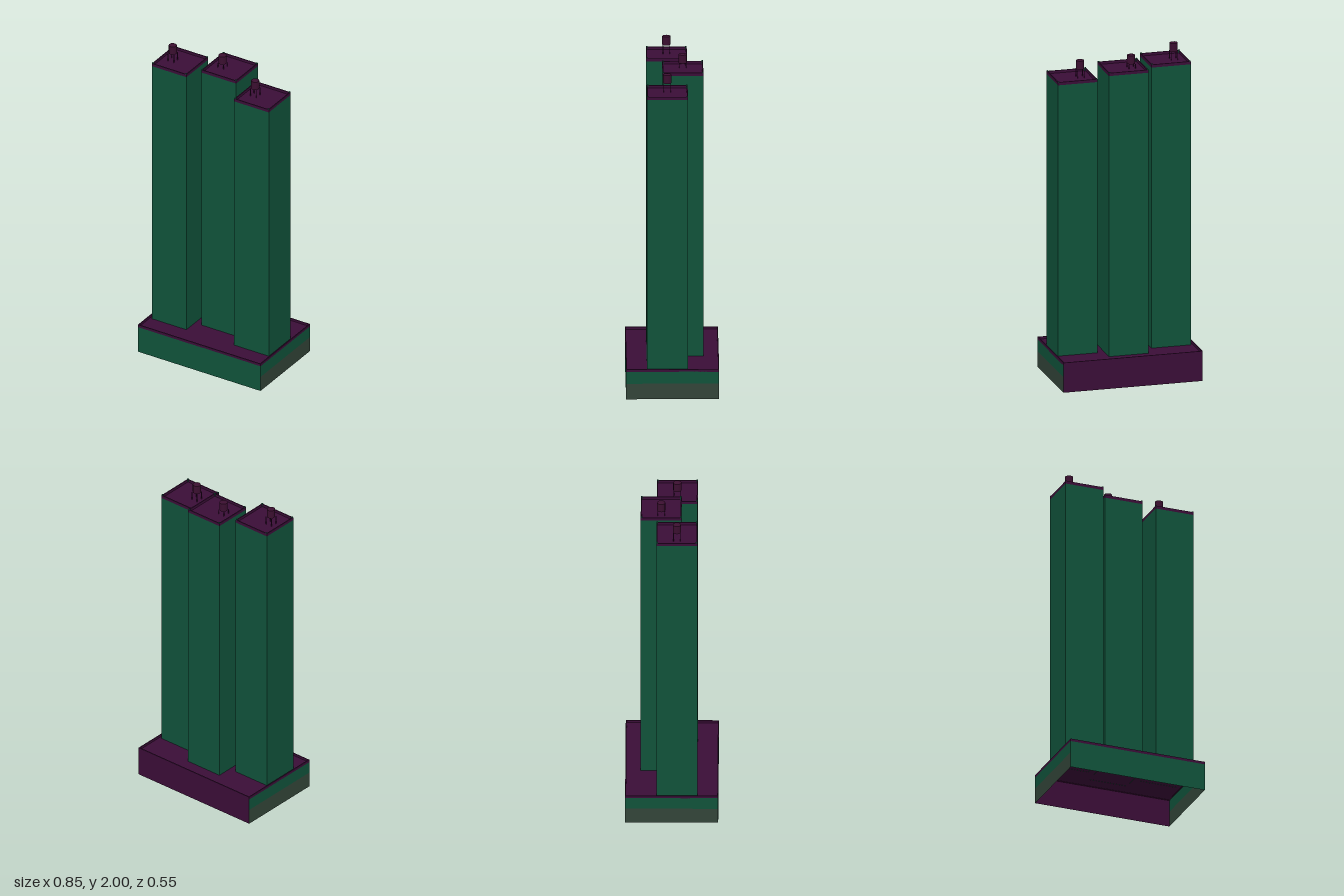
import * as THREE from 'three';

const mat = (name, color, side = THREE.FrontSide) => {
  const m = new THREE.MeshStandardMaterial({ color, side });
  m.name = name;
  return m;
};

export function createModel() {
  const green = mat('green wall', 0x10523a, THREE.DoubleSide);
  const purple = mat('purple roof', 0x3a0d37, THREE.DoubleSide);
  const grey = mat('grey green wall', 0x324438, THREE.DoubleSide);
  const plum = mat('plum tank', 0x3b0f30);

  const add = (parent, name, geometry, material, x = 0, y = 0, z = 0) => {
    const m = new THREE.Mesh(geometry, material);
    m.name = name;
    m.position.set(x, y, z);
    parent.add(m);
    return m;
  };

  // Upright wall panel between heights y0 and y1, turned about y
  const wall = (parent, name, material, width, y0, y1, x, z, turn) => {
    add(parent, name, new THREE.PlaneGeometry(width, y1 - y0), material, x, (y0 + y1) / 2, z).rotation.y = turn;
  };

  // Flat roof sunk inside a thin raised rim
  const rimmedRoof = (parent, w, d, top, height, rim) => {
    const shape = new THREE.Shape([[-1, -1], [1, -1], [1, 1], [-1, 1]]
      .map(([x, y]) => new THREE.Vector2(x * w / 2, y * d / 2)));
    shape.holes.push(new THREE.Path([[-1, -1], [-1, 1], [1, 1], [1, -1]]
      .map(([x, y]) => new THREE.Vector2(x * (w / 2 - rim), y * (d / 2 - rim)))));
    const ring = new THREE.ExtrudeGeometry(shape, { depth: height, bevelEnabled: false });
    ring.rotateX(-Math.PI / 2);
    add(parent, 'parapet', ring, purple, 0, top - height, 0);
    const deck = new THREE.PlaneGeometry(w - rim, d - rim).rotateX(-Math.PI / 2);
    add(parent, 'roofDeck', deck, purple, 0, top - height + 0.002, 0);
  };

  const group = new THREE.Group();
  group.name = 'towerBlock';

  // Podium: open underneath, side walls in two bands
  const podium = new THREE.Group();
  podium.name = 'podium';
  group.add(podium);
  const W = 0.85, D = 0.546, bandY = 0.095, wallTop = 0.168;
  wall(podium, 'podiumFront', green, W, 0, wallTop, 0, D / 2, 0);
  wall(podium, 'podiumBack', purple, W, 0, wallTop, 0, -D / 2, Math.PI);
  for (const s of [-1, 1]) {
    wall(podium, 'podiumSideLower', grey, D, 0, bandY, s * W / 2, 0, s * Math.PI / 2);
    wall(podium, 'podiumSideUpper', green, D, bandY, wallTop, s * W / 2, 0, s * Math.PI / 2);
  }
  rimmedRoof(podium, W, D, 0.183, 0.016, 0.006);

  // Towers: centre x and z, roof top, tank bottom
  const size = 0.24, foot = 0.168;
  const towers = [
    ['rightTower', -0.286, 0.03, 1.907, 1.942],
    ['middleTower', 0, -0.063, 1.907, 1.918],
    ['leftTower', 0.285, 0.03, 1.847, 1.882],
  ];
  for (const [name, x, z, top, tankY] of towers) {
    const tower = new THREE.Group();
    tower.name = name;
    tower.position.set(x, 0, z);
    group.add(tower);

    const wallEnd = top - 0.018;
    for (let i = 0; i < 4; i++) {
      const a = i * Math.PI / 2;
      wall(tower, 'towerWall', green, size, foot, wallEnd, Math.sin(a) * size / 2, Math.cos(a) * size / 2, a);
    }
    rimmedRoof(tower, size, size, top, 0.018, 0.006);

    // Small corner posts on the rim
    for (const sx of [-1, 1]) for (const sz of [-1, 1]) {
      add(tower, 'cornerPost', new THREE.BoxGeometry(0.009, 0.022, 0.009), green,
        sx * (size / 2 - 0.005), top - 0.007, sz * (size / 2 - 0.005));
    }

    // Water tank on four thin legs
    const tank = new THREE.Group();
    tank.name = 'waterTank';
    tank.position.set(-0.05, 0, 0);
    tower.add(tank);
    const legH = tankY - wallEnd;
    for (const sx of [-1, 1]) for (const sz of [-1, 1]) {
      add(tank, 'tankLeg', new THREE.BoxGeometry(0.004, legH, 0.004), purple,
        sx * 0.02, wallEnd + legH / 2, sz * 0.02);
    }
    add(tank, 'tankBody', new THREE.CylinderGeometry(0.024, 0.024, 0.052, 12), plum, 0, tankY + 0.026, 0);
    add(tank, 'tankLid', new THREE.ConeGeometry(0.024, 0.006, 12), plum, 0, tankY + 0.055, 0);
  }
  return group;
}
